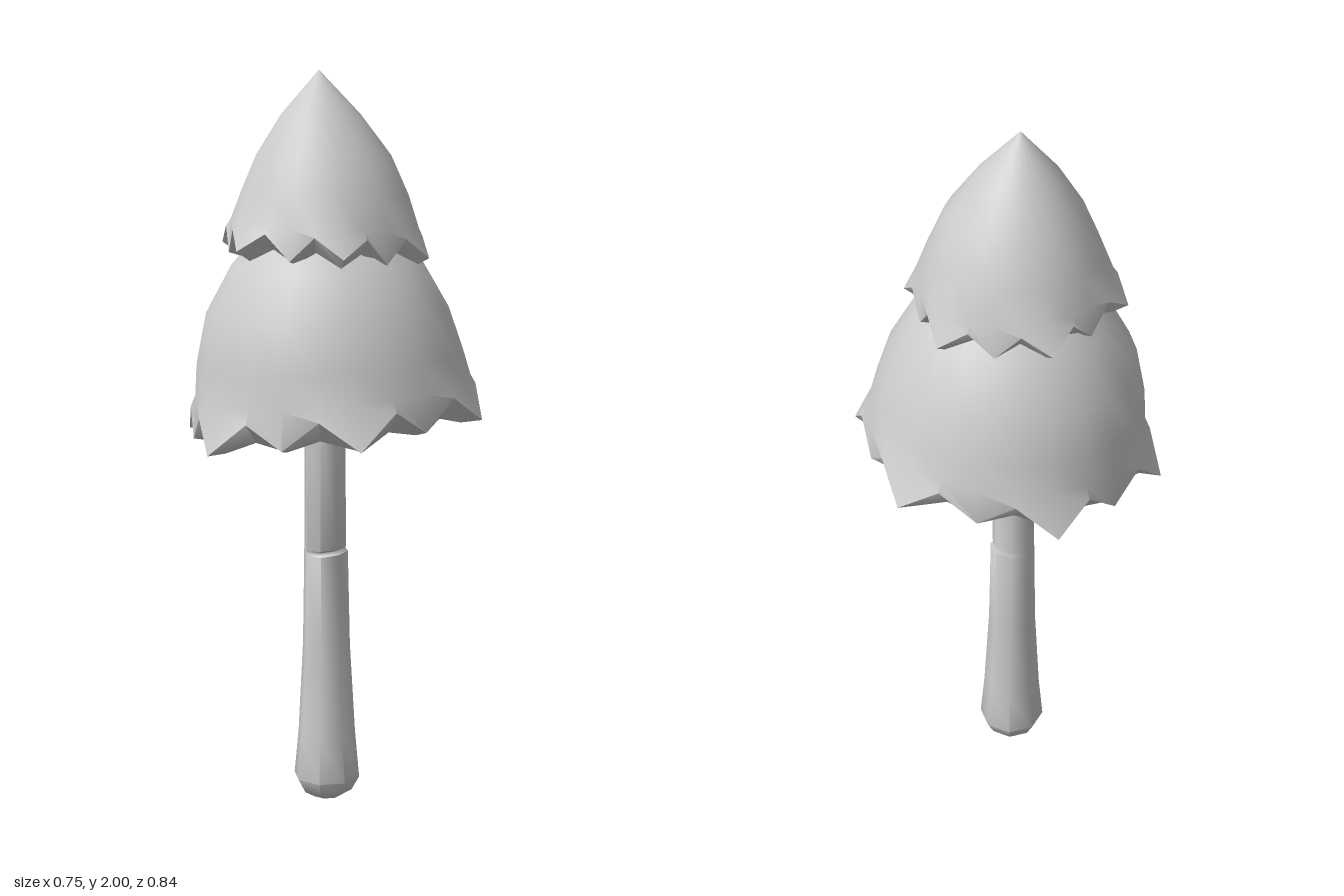
import * as THREE from 'three';
import { toCreasedNormals } from 'three/addons/utils/BufferGeometryUtils.js';

const material = new THREE.MeshStandardMaterial({ color: 0xcccccc });

// Skins a stack of rings, listed along the surface; at(row, angle, j) gives each corner.
// Rows with r = 0 close to a point.
function loft(name, rows, sides, at, crease) {
  const pos = [], index = [];
  rows.forEach((row, i) => {
    for (let j = 0; j < sides; j++) {
      pos.push(...at(row, (j / sides) * Math.PI * 2, j));
      if (i === rows.length - 1) continue;
      const a = i * sides + j, b = i * sides + ((j + 1) % sides);
      if (rows[i + 1].r !== 0) index.push(a, a + sides, b + sides);
      if (row.r !== 0) index.push(a, rows[i + 1].r === 0 ? a + sides : b + sides, b);
    }
  });
  const g = new THREE.BufferGeometry();
  g.setAttribute('position', new THREE.Float32BufferAttribute(pos, 3));
  g.setIndex(index);
  const mesh = new THREE.Mesh(toCreasedNormals(g, crease), material);
  mesh.name = name;
  return mesh;
}

// A value may vary round the hem as [corner spike, notch, small spike]
function pick(v, j) {
  if (!Array.isArray(v)) return v;
  if (j % 2) return v[1];
  return j % 4 ? v[2] : v[0];
}

// Thick bell with a zigzag hem; cx shifts a ring sideways, tilt slopes it along x
function cap(name, rows) {
  return loft(name, rows, 24, (row, a, j) => {
    const r = pick(row.r, j);
    const x = r * Math.sin(a);
    return [row.cx + x, pick(row.y, j) + x * row.tilt, r * Math.cos(a)];
  }, 1.0);
}

// Eight-sided stalk; cut presses a slanted crack into one side only
function stalk(name, rows) {
  return loft(name, rows, 8, (row, angle) => {
    const a = angle + Math.PI / 8;
    const r = row.r - (row.cut || 0) * Math.max(0, Math.cos(a));
    const x = r * Math.sin(a);
    return [row.cx + x, row.y + x * (row.tilt || 0), r * Math.cos(a)];
  }, 0.9);
}

export function createModel() {
  const group = new THREE.Group();
  group.name = 'mushroom';

  // Upper cap: outside going down, hem, then inside going up
  group.add(cap('upperCap', [
    { r: 0, y: 2.0, cx: -0.035, tilt: 0 },
    { r: 0.105, y: 1.885, cx: -0.03, tilt: 0 },
    { r: 0.178, y: 1.78, cx: -0.023, tilt: 0 },
    { r: 0.222, y: 1.68, cx: -0.02, tilt: -0.02 },
    { r: [0.256, 0.25, 0.249], y: 1.6, cx: -0.021, tilt: -0.04 },
    { r: [0.292, 0.261, 0.254], y: [1.53, 1.58, 1.515], cx: -0.022, tilt: -0.05 },
    { r: [0.25, 0.225, 0.215], y: [1.505, 1.54, 1.505], cx: -0.021, tilt: -0.05 },
    { r: 0.2, y: 1.63, cx: -0.02, tilt: 0 },
    { r: 0.13, y: 1.76, cx: -0.025, tilt: 0 },
    { r: 0, y: 1.88, cx: -0.03, tilt: 0 },
  ]));

  // Lower cap, with a shallow hollow underneath
  group.add(cap('lowerCap', [
    { r: 0, y: 1.7, cx: -0.02, tilt: 0 },
    { r: 0.15, y: 1.61, cx: -0.02, tilt: 0.02 },
    { r: 0.255, y: 1.495, cx: -0.015, tilt: 0.03 },
    { r: 0.325, y: 1.37, cx: -0.015, tilt: 0.04 },
    { r: 0.357, y: 1.25, cx: -0.008, tilt: 0.06 },
    { r: 0.37, y: 1.17, cx: 0, tilt: 0.09 },
    { r: [0.419, 0.384, 0.375], y: [1.06, 1.14, 1.07], cx: 0, tilt: 0.1 },
    { r: [0.36, 0.34, 0.335], y: [1.055, 1.085, 1.06], cx: 0, tilt: 0.1 },
    { r: 0.27, y: 1.16, cx: -0.005, tilt: 0.08 },
    { r: 0.16, y: 1.25, cx: -0.01, tilt: 0.05 },
    { r: 0, y: 1.31, cx: -0.02, tilt: 0 },
  ]));

  // Stalk with a crack partway up and a rounded foot
  group.add(stalk('stalk', [
    { r: 0, y: 1.4, cx: -0.02 },
    { r: 0.054, y: 1.39, cx: -0.02 },
    { r: 0.056, y: 1.1, cx: -0.02 },
    { r: 0.058, y: 0.722, cx: -0.019, tilt: 0.12 },
    { r: 0.059, y: 0.716, cx: -0.019, tilt: 0.12, cut: 0.008 },
    { r: 0.06, y: 0.711, cx: -0.018, tilt: 0.12, cut: 0.008 },
    { r: 0.061, y: 0.706, cx: -0.017, tilt: 0.12 },
    { r: 0.066, y: 0.45, cx: -0.016 },
    { r: 0.08, y: 0.2, cx: -0.015 },
    { r: 0.092, y: 0.07, cx: -0.015 },
    { r: 0.07, y: 0.03, cx: -0.015 },
    { r: 0.04, y: 0.012, cx: -0.015 },
    { r: 0, y: 0, cx: -0.015 },
  ]));

  return group;
}
